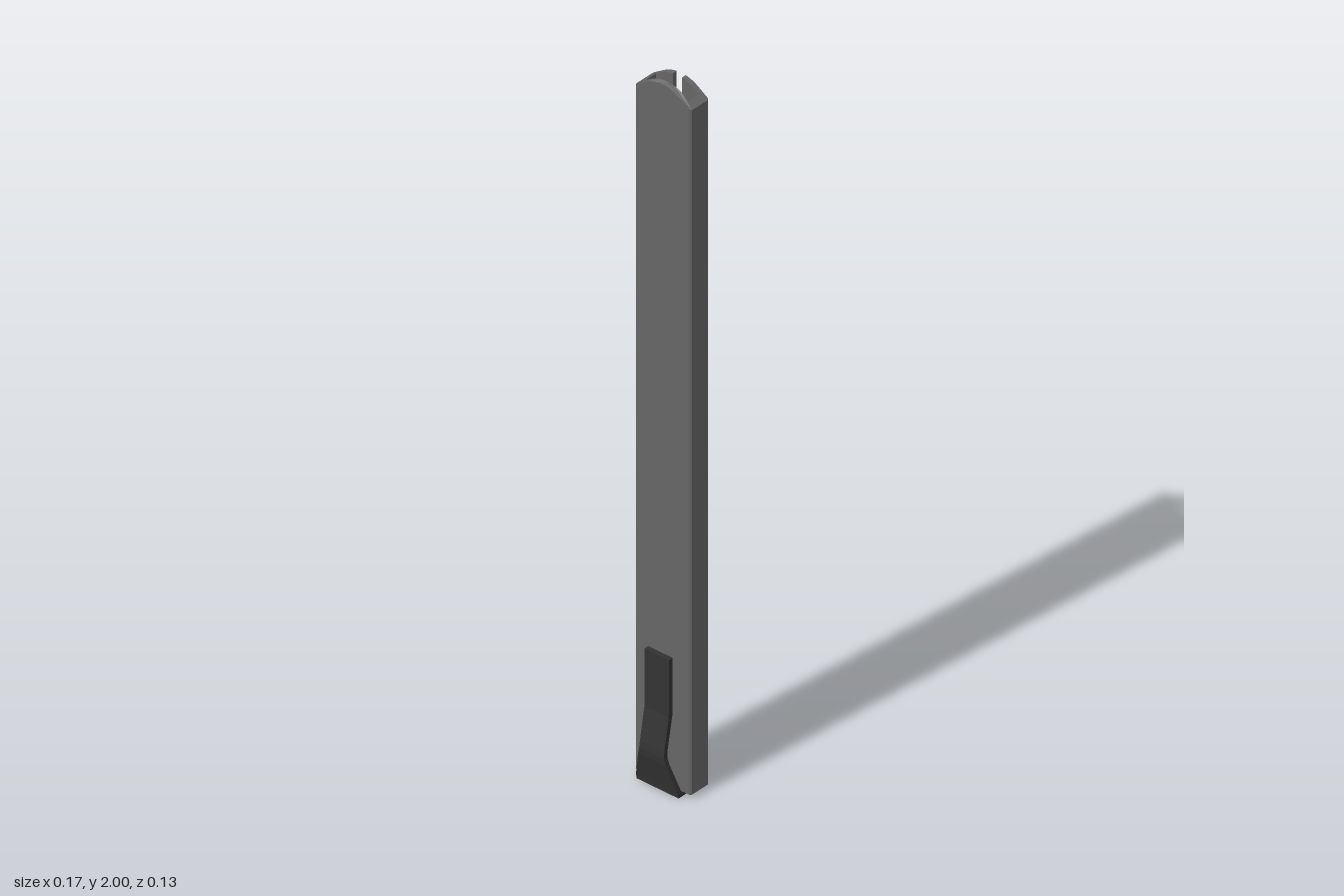
import * as THREE from 'three';

const BOTTOM = 0.012;
const mat = (color) => new THREE.MeshStandardMaterial({ color });
const bodyMat = mat(0x666666);
const blackMat = mat(0x333333);
const bladeMat = mat(0x999999);

function mesh(name, geometry, material) {
  const m = new THREE.Mesh(geometry, material);
  m.name = name;
  return m;
}

const toShape = (pts) => new THREE.Shape(pts.map(([x, y]) => new THREE.Vector2(x, y)));

// Flat plate drawn in x/y, from z0 forward by depth
function plate(pts, depth, z0) {
  return new THREE.ExtrudeGeometry(toShape(pts), { depth, bevelEnabled: false }).translate(0, 0, z0);
}

function box(x0, x1, y0, y1, z0, z1) {
  return new THREE.BoxGeometry(x1 - x0, y1 - y0, z1 - z0)
    .translate((x0 + x1) / 2, (y0 + y1) / 2, (z0 + z1) / 2);
}

// Height of the arched top edge at x
function archTop(x) {
  const a = Math.abs(x);
  return a < 0.05 ? 2 - 0.014 * (a / 0.05) ** 2 : 1.986 - 0.024 * (a - 0.05) / 0.037;
}

// C-shaped channel: one cross-section extruded upward, top cut to the arch
function channelGeometry() {
  const pts = [];
  const n = 16;
  const half = [[0.087, -0.026], [0.087, 0.032], [0.083, 0.036], [0.054, 0.036],
    [0.054, 0.022], [0.067, 0.022], [0.067, -0.014]];
  for (let i = 0; i <= n; i++) pts.push([-0.083 + 0.166 * i / n, -0.03]);
  pts.push(...half);
  for (let i = 1; i < n; i++) pts.push([0.067 - 0.134 * i / n, -0.014]);
  pts.push(...half.slice().reverse().map(([x, s]) => [-x, s]));
  const g = new THREE.ExtrudeGeometry(toShape(pts), { depth: 1, bevelEnabled: false });
  g.rotateX(-Math.PI / 2);
  const p = g.attributes.position;
  for (let i = 0; i < p.count; i++) p.setY(i, p.getY(i) > 0.5 ? archTop(p.getX(i)) : BOTTOM);
  g.computeVertexNormals();
  return g;
}

// Half of the slotted back: straight, toothed, straight, then a narrow slot
function railGeometry(side) {
  const pts = [[0.054, BOTTOM]];
  for (let i = 0; i <= 6; i++) {
    const x = 0.054 - 0.04 * i / 6;
    pts.push([x, archTop(x)]);
  }
  pts.push([0.014, 1.89], [0.033, 1.86], [0.033, 1.51]);
  const teeth = 13, steps = 10;
  for (let i = 0; i <= teeth * steps; i++) {
    const wave = THREE.MathUtils.clamp(-1.5 * Math.cos(i / steps * Math.PI * 2), -1, 1);
    pts.push([0.042 + 0.009 * wave, 1.5 - 0.97 * i / (teeth * steps)]);
  }
  pts.push([0.033, 0.52], [0.033, BOTTOM]);
  return plate(pts.map(([x, y]) => [x * side, y]), 0.014, -0.036);
}

// Bent strip from rows of [y, half width, outer z, inner z], top to bottom
function stripGeometry(rows) {
  const pos = [], idx = [];
  for (const [y, w, zo, zi] of rows) pos.push(-w, y, zo, w, y, zo, w, y, zi, -w, y, zi);
  for (let i = 0; i < rows.length - 1; i++) {
    for (let j = 0; j < 4; j++) {
      const a = i * 4 + j, b = i * 4 + (j + 1) % 4;
      idx.push(a, a + 4, b + 4, a, b + 4, b);
    }
  }
  const e = (rows.length - 1) * 4;
  idx.push(0, 1, 2, 0, 2, 3, e, e + 2, e + 1, e, e + 3, e + 2);
  const g = new THREE.BufferGeometry();
  g.setAttribute('position', new THREE.Float32BufferAttribute(pos, 3));
  g.setIndex(idx);
  const flat = g.toNonIndexed();
  flat.computeVertexNormals();
  return flat;
}

// Thumb slide: ribbed side profile swept across x
function slideGeometry() {
  const y0 = 0.215, y1 = 0.545, ribs = 12, p = (y1 - y0) / ribs;
  const pts = [[0.047, y0], [0.047, y1]];
  for (let i = ribs - 1; i >= 0; i--) {
    const y = y0 + i * p;
    pts.push([0.062, y + p], [0.067, y + p * 0.8], [0.067, y + p * 0.3], [0.062, y + p * 0.15]);
  }
  pts.push([0.062, y0]);
  const g = new THREE.ExtrudeGeometry(toShape(pts), { depth: 0.102, bevelEnabled: false });
  return g.rotateY(Math.PI / 2).translate(-0.055, 0, 0);
}

export function createModel() {
  const group = new THREE.Group();
  group.name = 'snapOffKnife';

  // Housing
  const housing = new THREE.Group();
  housing.name = 'housing';
  housing.add(mesh('channel', channelGeometry(), bodyMat));
  housing.add(mesh('leftRail', railGeometry(1), bodyMat));
  housing.add(mesh('rightRail', railGeometry(-1), bodyMat));
  group.add(housing);

  // Blade with slanted tip, and the pin that holds it
  const blade = [[-0.066, 0.3], [0.061, 0.3], [0.061, 1.93], [-0.066, 1.85]];
  group.add(mesh('blade', plate(blade, 0.008, -0.019), bladeMat));
  const pin = new THREE.CylinderGeometry(0.013, 0.013, 0.012, 20);
  pin.rotateX(Math.PI / 2).translate(-0.004, 0.57, -0.024);
  group.add(mesh('bladePin', pin, blackMat));
  group.add(mesh('bladeCarrier', box(-0.066, 0.061, 0.2, 0.62, -0.011, 0.013), blackMat));
  group.add(mesh('thumbSlide', slideGeometry(), blackMat));

  // End cap with its tongue inside the housing
  group.add(mesh('endCap', box(-0.07, 0.062, 0, BOTTOM, -0.03, 0.045), blackMat));
  group.add(mesh('capTongue', box(-0.066, 0.061, BOTTOM, 0.3, -0.019, 0.013), blackMat));

  // Pocket clip, flared towards the cap
  const clip = mesh('pocketClip', stripGeometry([
    [0.383, 0.038, 0.047, 0.034],
    [0.22, 0.038, 0.048, 0.035],
    [0.13, 0.038, 0.064, 0.052],
    [0.11, 0.039, 0.066, 0.054],
    [0.09, 0.044, 0.064, 0.052],
    [0.02, 0.064, 0.048, 0.036],
    [0.004, 0.066, 0.045, 0.03],
  ]), blackMat);
  clip.position.x = -0.004;
  group.add(clip);

  return group;
}
